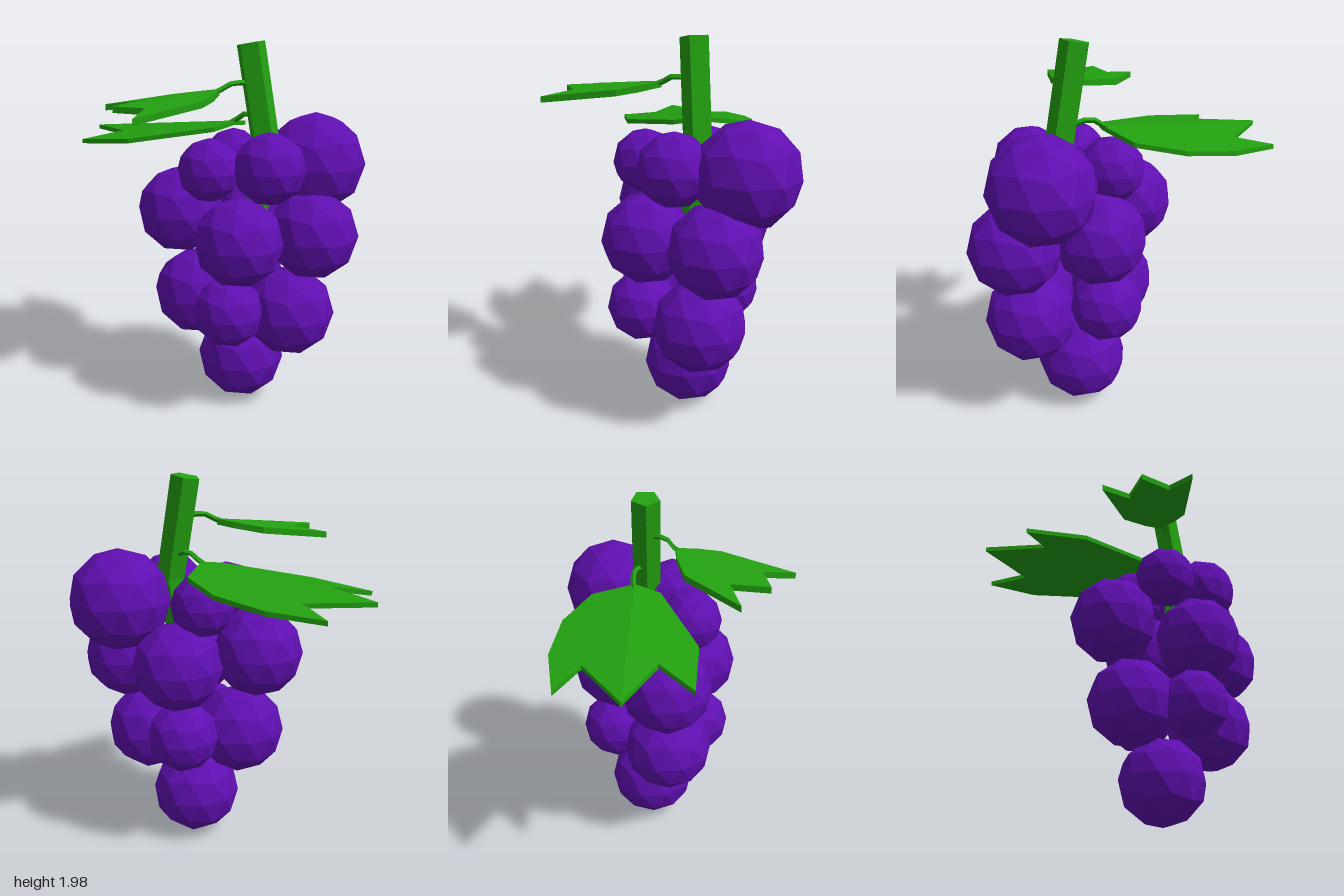
import * as THREE from 'three';

const grapeSkin = new THREE.MeshStandardMaterial({ color: 0x5f0fb0 });
grapeSkin.name = 'grape purple';
const leafGreen = new THREE.MeshStandardMaterial({ color: 0x22a010 });
leafGreen.name = 'leaf green';

// Give every face its own normal for a faceted look
function faceted(geometry) {
  const g = geometry.index ? geometry.toNonIndexed() : geometry;
  g.computeVertexNormals();
  return g;
}

function addMesh(parent, name, geometry, material) {
  const mesh = new THREE.Mesh(faceted(geometry), material);
  mesh.name = name;
  parent.add(mesh);
  return mesh;
}

// Five-sided woody segment between two points
function stemSegment(parent, name, from, to, rTop, rBottom) {
  const a = new THREE.Vector3(...from), b = new THREE.Vector3(...to);
  const axis = a.clone().sub(b);
  const geometry = new THREE.CylinderGeometry(rTop, rBottom, axis.length(), 5, 1, false, -Math.PI / 2);
  const mesh = addMesh(parent, name, geometry, leafGreen);
  mesh.position.copy(a).add(b).multiplyScalar(0.5);
  mesh.quaternion.setFromUnitVectors(new THREE.Vector3(0, 1, 0), axis.normalize());
}

// Leaf of two halves that fold down from the midrib (base to tip), plus its stalk.
// Points are [x, z]; the sides run from the base towards the tip.
function leaf(name, { base, tip, sides, height, slope, fold, thickness, stalk }) {
  const group = new THREE.Group();
  group.name = name;
  const rib = new THREE.Vector2(tip[0] - base[0], tip[1] - base[1]).normalize();
  sides.forEach((side, i) => {
    const outline = [base, ...side, tip].map(([x, z]) => new THREE.Vector2(x, -z));
    const geometry = new THREE.ExtrudeGeometry(new THREE.Shape(outline), { depth: thickness, bevelEnabled: false });
    geometry.rotateX(-Math.PI / 2);
    const p = geometry.attributes.position;
    for (let v = 0; v < p.count; v++) {
      const dx = p.getX(v) - base[0], dz = p.getZ(v) - base[1];
      const along = dx * rib.x + dz * rib.y;
      const across = Math.abs(dx * rib.y - dz * rib.x);
      p.setY(v, p.getY(v) + height - thickness - slope * along - fold * across);
    }
    addMesh(group, 'leafHalf' + (i + 1), geometry, leafGreen);
  });
  const curve = new THREE.CatmullRomCurve3(stalk.map((s) => new THREE.Vector3(...s)));
  addMesh(group, 'leafStalk', new THREE.TubeGeometry(curve, 4, 0.014, 4), leafGreen);
  return group;
}

export function createModel() {
  const model = new THREE.Group();
  model.name = 'grapeBunch';

  // Grapes: x, y, z, radius, from the bottom tier to the top
  const grapes = [
    [0.2, 0.24, -0.125, 0.238],
    [-0.03, 0.615, -0.04, 0.24],
    [0.245, 0.6, 0.135, 0.186],
    [0.49, 0.57, -0.105, 0.24],
    [0.17, 0.64, -0.325, 0.188],
    [-0.14, 1.07, -0.05, 0.238],
    [0.29, 0.985, 0.12, 0.234],
    [0.59, 1.0, -0.15, 0.238],
    [0.2, 1.02, -0.31, 0.238],
    [0.105, 1.34, 0.09, 0.166],
    [0.405, 1.36, 0.01, 0.188],
    [0.525, 1.345, -0.32, 0.268],
    [0.085, 1.34, -0.24, 0.168],
  ];
  const bunch = new THREE.Group();
  bunch.name = 'grapes';
  model.add(bunch);
  const berry = new THREE.IcosahedronGeometry(1, 1);
  berry.rotateZ(-Math.atan(2 / (1 + Math.sqrt(5)))); // corner at the top
  grapes.forEach(([x, y, z, r], i) => {
    const mesh = addMesh(bunch, 'grape' + (i + 1), berry, grapeSkin);
    mesh.position.set(x, y, z);
    mesh.scale.setScalar(r);
  });

  // Main stem, bending back into the bunch
  const stem = new THREE.Group();
  stem.name = 'stem';
  model.add(stem);
  stemSegment(stem, 'upperStem', [0.222, 1.968, -0.135], [0.325, 1.42, -0.135], 0.077, 0.077);
  stemSegment(stem, 'lowerStem', [0.318, 1.46, -0.135], [0.28, 1.05, -0.12], 0.075, 0.06);

  // Large leaf over the right side
  model.add(leaf('largeLeaf', {
    base: [0.11, -0.2], tip: [-0.82, -0.27],
    sides: [
      [[0.075, -0.42], [-0.13, -0.56], [-0.4, -0.61], [-0.68, -0.575], [-0.52, -0.45]],
      [[0.05, -0.07], [-0.385, 0.095], [-0.71, 0.055], [-0.54, -0.1]],
    ],
    height: 1.555, slope: 0.11, fold: 0.13, thickness: 0.024,
    stalk: [[0.08, 1.54, -0.205], [0.13, 1.57, -0.21], [0.18, 1.6, -0.2], [0.25, 1.58, -0.17]],
  }));

  // Small leaf towards the front
  model.add(leaf('smallLeaf', {
    base: [0.12, 0.01], tip: [-0.24, 0.445],
    sides: [
      [[0.03, 0.01], [-0.13, 0.04], [-0.39, 0.285], [-0.21, 0.25]],
      [[0.145, 0.13], [0.145, 0.245], [-0.03, 0.6], [-0.065, 0.43]],
    ],
    height: 1.745, slope: 0.1, fold: 0.1, thickness: 0.032,
    stalk: [[0.1, 1.725, 0.04], [0.13, 1.745, 0.0], [0.18, 1.775, -0.04], [0.23, 1.765, -0.11]],
  }));

  return model;
}
